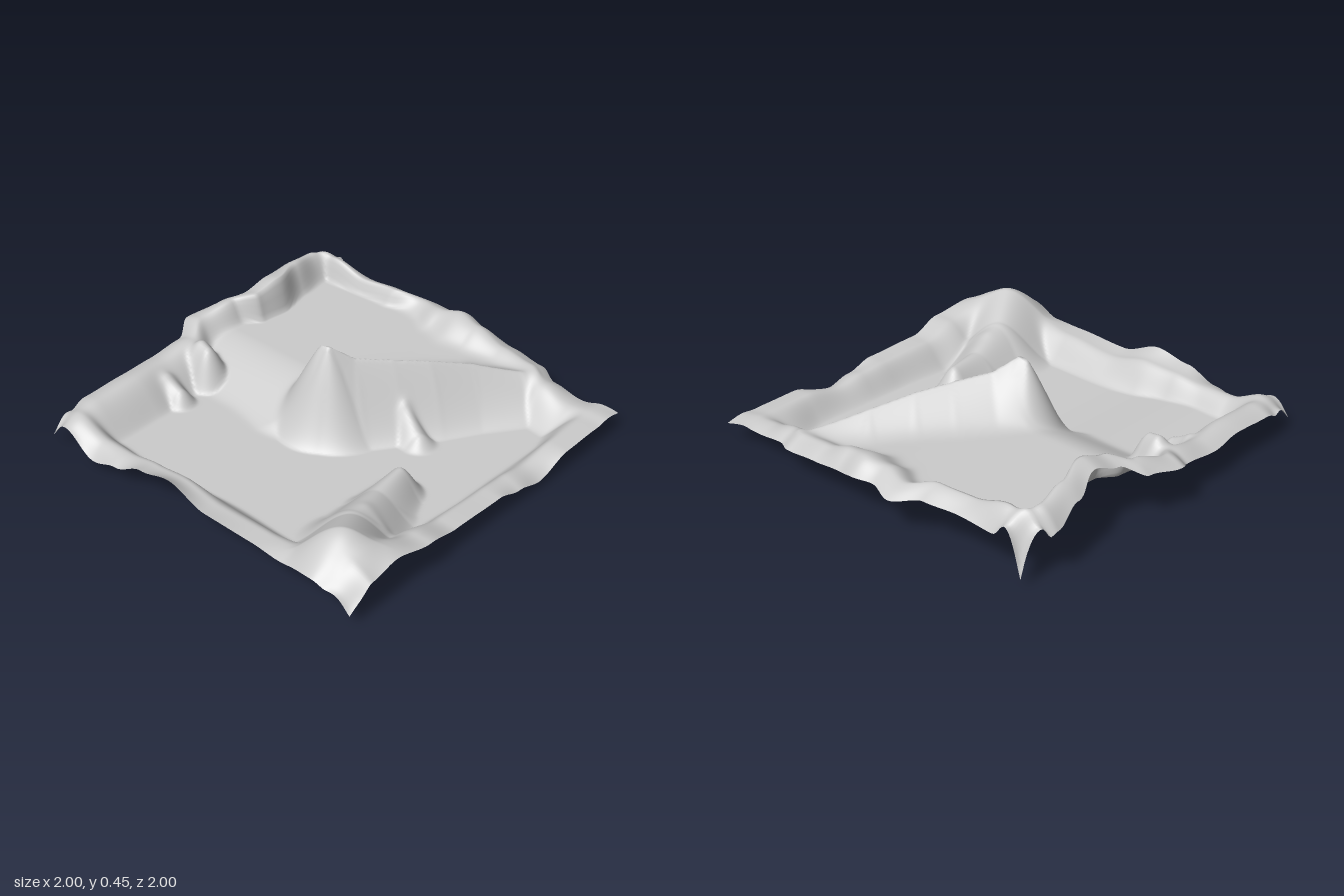
import * as THREE from 'three';

const clamp = THREE.MathUtils.clamp, lerp = THREE.MathUtils.lerp;
const ease = (t) => { t = clamp(t, 0, 1); return t * t * (3 - 2 * t); };

// Eased lookup in rows of [position, value, value...]
function sample(rows, t, k) {
  if (t <= rows[0][0]) return rows[0][k];
  for (let i = 1; i < rows.length; i++) {
    const a = rows[i - 1], b = rows[i];
    if (t <= b[0]) return lerp(a[k], b[k], ease((t - a[0]) / (b[0] - a[0])));
  }
  return rows[rows.length - 1][k];
}

// Rims, one per side: [position along side, outline, edge height, crest height, foot distance]
const leftRim = [
  [-0.92, -0.89, 0.04, 0.26, 0.22], [-0.76, -0.95, 0.23, 0.325, 0.25], [-0.6, -0.92, 0.29, 0.35, 0.22],
  [-0.42, -0.855, 0.34, 0.365, 0.16], [-0.28, -0.87, 0.3, 0.33, 0.17], [-0.18, -0.96, 0.25, 0.3, 0.23],
  [0, -1, 0.23, 0.26, 0.28], [0.12, -0.94, 0.18, 0.22, 0.3], [0.32, -0.94, 0.16, 0.19, 0.33],
  [0.52, -0.92, 0.17, 0.2, 0.33], [0.75, -0.92, 0.16, 0.19, 0.34], [0.96, -0.9, 0.06, 0.15, 0.32],
];
const rightRim = [
  [-0.92, 0.975, 0.09, 0.11, 0.28], [-0.7, 0.98, 0.11, 0.12, 0.26], [-0.5, 0.985, 0.11, 0.12, 0.22],
  [-0.3, 0.98, 0.045, 0.09, 0.22], [-0.15, 0.98, 0.08, 0.11, 0.22], [0, 0.98, 0.12, 0.12, 0.22],
  [0.3, 0.98, 0.13, 0.13, 0.24], [0.5, 1, 0.18, 0.18, 0.34], [0.7, 0.985, 0.21, 0.23, 0.36],
  [0.85, 0.985, 0.18, 0.22, 0.3], [0.97, 0.97, 0.05, 0.14, 0.25],
];
const backRim = [
  [-0.89, -0.92, 0.04, 0.26, 0.18], [-0.75, -0.92, 0.2, 0.31, 0.18], [-0.55, -0.92, 0.21, 0.26, 0.17],
  [-0.36, -0.94, 0.21, 0.265, 0.2], [-0.2, -1, 0.18, 0.23, 0.32], [-0.08, -0.97, 0.2, 0.25, 0.38],
  [0.03, -0.99, 0.2, 0.27, 0.46], [0.15, -0.97, 0.18, 0.25, 0.38], [0.32, -0.96, 0.16, 0.2, 0.3],
  [0.5, -0.95, 0.14, 0.18, 0.27], [0.62, -0.9, 0.12, 0.16, 0.27], [0.78, -0.89, 0.1, 0.12, 0.28],
  [0.98, -0.92, 0.09, 0.11, 0.3],
];
const frontRim = [
  [-0.9, 0.965, 0.06, 0.14, 0.24], [-0.78, 0.965, 0.11, 0.17, 0.25], [-0.62, 0.965, 0.05, 0.12, 0.24],
  [-0.47, 0.963, 0.09, 0.12, 0.22], [-0.3, 0.957, 0.155, 0.14, 0.22], [-0.12, 0.953, 0.19, 0.15, 0.24],
  [0.1, 0.95, 0.12, 0.11, 0.25], [0.4, 0.96, 0.13, 0.13, 0.25], [0.58, 0.97, 0.13, 0.15, 0.3],
  [0.78, 1, 0.17, 0.2, 0.3], [0.97, 0.975, 0.05, 0.12, 0.25],
];
const crestDistance = 0.09;

// Cross-section of a rim at distance d from the edge
function rimHeight(rows, along, d) {
  const edge = sample(rows, along, 2), crest = sample(rows, along, 3), foot = sample(rows, along, 4);
  if (d < crestDistance) return lerp(edge, crest, Math.sin((d / crestDistance) * Math.PI / 2));
  return crest * (1 - ease((d - crestDistance) / (foot - crestDistance)));
}

// Ridges through points [x, z, height, width on the right, width on the left]
const mountain = [
  [-0.09, 0, 0.455, 0.23, 0.33], [-0.05, -0.01, 0.465, 0.23, 0.37], [0.03, -0.1, 0.39, 0.22, 0.42],
  [0.14, -0.25, 0.355, 0.22, 0.44], [0.24, -0.4, 0.32, 0.22, 0.42], [0.35, -0.58, 0.265, 0.22, 0.38],
  [0.5, -0.78, 0.18, 0.22, 0.3],
];
const hills = [
  [[-0.76, 0.13, 0.25, 0.18, 0.18], [-0.71, 0.14, 0.24, 0.16, 0.16]], // knoll
  [[-0.76, 0.36, 0.16, 0.15, 0.15], [-0.68, 0.36, 0.12, 0.12, 0.12]], // small knoll
  [[0.25, -0.22, 0.17, 0.12, 0.12], [0.36, -0.19, 0.07, 0.1, 0.1]], // spur
  [[0.54, 0.16, 0.15, 0.15, 0.13], [0.57, 0.35, 0.15, 0.2, 0.2],
    [0.65, 0.6, 0.21, 0.3, 0.3], [0.76, 0.78, 0.305, 0.41, 0.41]], // corner hill and its finger
  [[0.64, 0.5, 0.15, 0.15, 0.15], [0.73, 0.5, 0.11, 0.1, 0.1]], // shoulder of the finger
];

function ridgeHeight(points, x, z, profile) {
  let best = 0;
  for (let i = 1; i < points.length; i++) {
    const a = points[i - 1], b = points[i];
    const dx = b[0] - a[0], dz = b[1] - a[1], len = Math.hypot(dx, dz);
    const t = clamp(((x - a[0]) * dx + (z - a[1]) * dz) / (len * len), 0, 1);
    const px = x - a[0] - dx * t, pz = z - a[1] - dz * t, d = Math.hypot(px, pz);
    const side = d > 1e-6 ? (dx * pz - dz * px) / (len * d) : 0;
    const width = lerp(lerp(a[4], b[4], t), lerp(a[3], b[3], t), (side + 1) / 2);
    best = Math.max(best, lerp(a[2], b[2], t) * profile(clamp(d / width, 0, 1)));
  }
  return best;
}
const steep = (t) => 0.7 * Math.pow(1 - t, 1.3) + 0.3 * (1 - ease(t));
const round = (t) => 1 - ease(t);

// Raised basin behind the mountain, sloping down to the front
function plateauHeight(x, z, edgeDistance) {
  const behindRidge = ((-0.07 - x) * 0.78 - z * 0.59) / 0.978;
  return lerp(0.185, 0.16, ease(x / 0.4)) * ease((behindRidge + 0.14) / 0.16)
    * ease((0.36 - z) / 0.5) * ease(edgeDistance / crestDistance);
}

function terrainHeight(x, z, dl, dr, db, df) {
  const parts = [
    0.003 + 0.035 * ease(-x / 0.5), // valley floor
    rimHeight(leftRim, z, dl), rimHeight(rightRim, z, dr),
    rimHeight(backRim, x, db), rimHeight(frontRim, x, df),
    plateauHeight(x, z, Math.min(dl, dr, db, df)),
    ridgeHeight(mountain, x, z, steep),
    ...hills.map((h) => ridgeHeight(h, x, z, round)),
  ];
  // soft maximum blends the slopes into each other
  return Math.pow(parts.reduce((sum, h) => sum + Math.pow(Math.max(h, 0), 7), 0), 1 / 7);
}

export function createModel() {
  const group = new THREE.Group();
  group.name = 'landscape';
  const geometry = new THREE.PlaneGeometry(1, 1, 180, 180);
  geometry.rotateX(-Math.PI / 2);
  const pos = geometry.attributes.position;
  for (let i = 0; i < pos.count; i++) {
    // stretch the square sheet to the wavy outline
    const u = pos.getX(i) + 0.5, v = pos.getZ(i) + 0.5;
    const x0 = lerp(-0.9, 0.975, u), z0 = lerp(-0.92, 0.968, v);
    const xl = sample(leftRim, z0, 1), xr = sample(rightRim, z0, 1);
    const zb = sample(backRim, x0, 1), zf = sample(frontRim, x0, 1);
    const x = lerp(xl, xr, u), z = lerp(zb, zf, v);
    pos.setXYZ(i, x, terrainHeight(x, z, x - xl, xr - x, z - zb, zf - z), z);
  }
  geometry.computeVertexNormals();
  const terrain = new THREE.Mesh(geometry,
    new THREE.MeshStandardMaterial({ color: 0xcccccc, side: THREE.DoubleSide }));
  terrain.name = 'terrain';
  group.add(terrain);
  return group;
}
